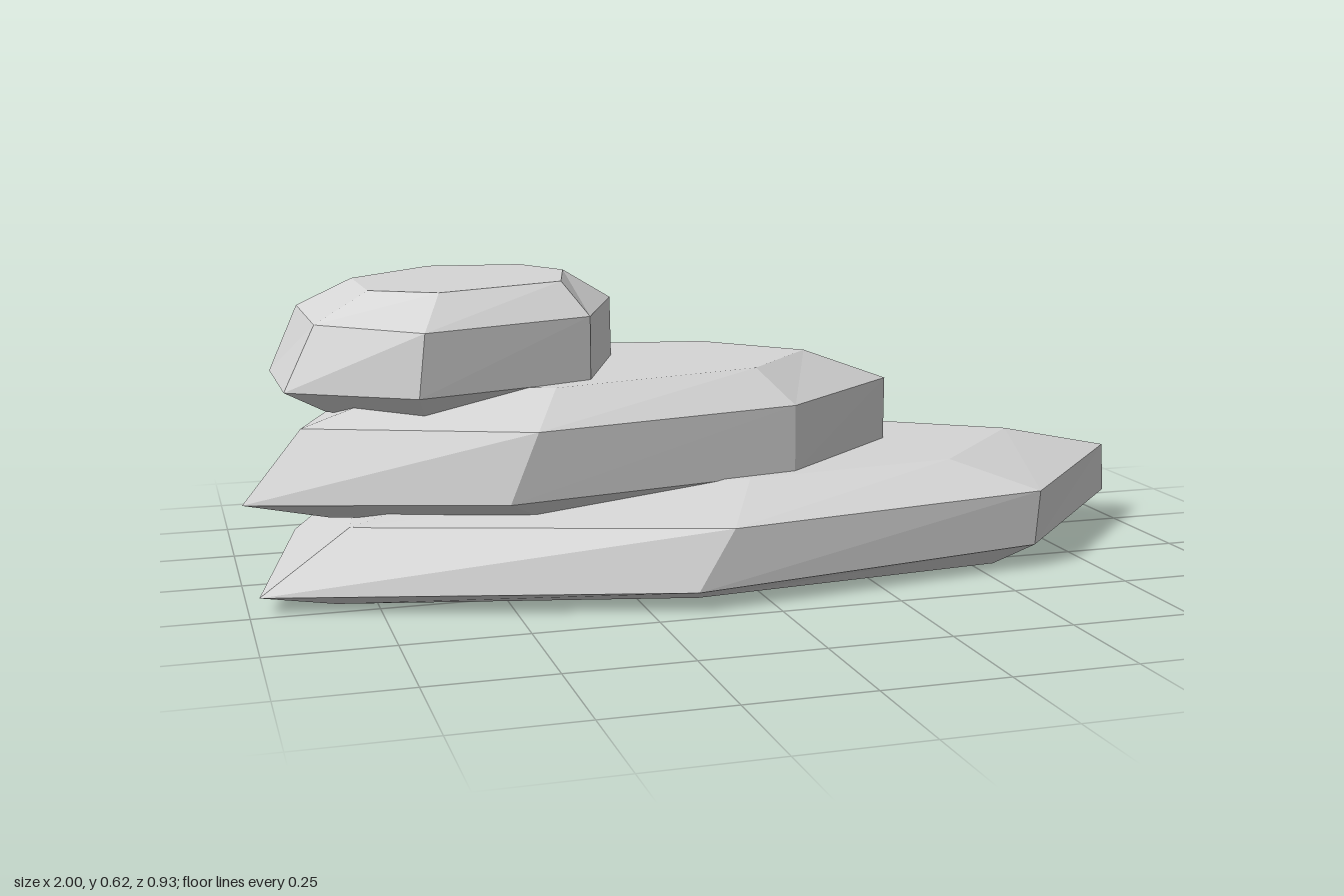
import * as THREE from 'three';

// Each slab: four seven-sided rings of [x, z], from underside to top.
const lowerRings = [
  [[.77, -.08], [.55, .29], [-.13, .36], [-.83, .19], [-.73, -.26], [-.25, -.38], [.4, -.31]],
  [[1, -.06], [.62, .345], [-.16, .465], [-.98, .23], [-.865, -.29], [-.28, -.465], [.56, -.375]],
  [[.98, -.035], [.63, .345], [-.08, .445], [-.8, .2], [-.72, -.26], [-.26, -.4], [.57, -.325]],
  [[.72, -.02], [.47, .23], [.01, .265], [-.55, .14], [-.52, -.2], [-.18, -.29], [.45, -.2]],
];
const middleRings = [
  [[.28, -.01], [.06, .18], [-.42, .25], [-.83, .12], [-.67, -.19], [-.38, -.37], [.1, -.24]],
  [[.415, -.01], [.12, .23], [-.5, .32], [-1, .14], [-.81, -.24], [-.43, -.46], [.18, -.31]],
  [[.41, .005], [.12, .23], [-.44, .31], [-.88, .12], [-.74, -.21], [-.4, -.4], [.17, -.27]],
  [[.22, 0], [.06, .15], [-.38, .2], [-.66, .08], [-.6, -.16], [-.36, -.29], [.04, -.18]],
];
const upperRings = [
  [[-.28, -.1], [-.36, .1], [-.64, .17], [-.82, .04], [-.83, -.2], [-.6, -.33], [-.37, -.26]],
  [[-.19, -.1], [-.295, .145], [-.66, .235], [-.905, .06], [-.91, -.24], [-.61, -.41], [-.31, -.315]],
  [[-.195, -.09], [-.295, .145], [-.645, .228], [-.84, .05], [-.85, -.22], [-.6, -.365], [-.31, -.28]],
  [[-.3, -.08], [-.34, .08], [-.6, .13], [-.73, .04], [-.74, -.15], [-.56, -.26], [-.37, -.2]],
];

// Lofts the rings into a closed faceted slab; each ring has a height and a lean along x and z.
function slab(name, rings, planes, material) {
  const points = rings.map((ring, k) => {
    const [height, leanX, leanZ] = planes[k];
    return ring.map(([x, z]) => [x, height + leanX * x + leanZ * z, z]);
  });
  const n = rings[0].length;
  const positions = [];
  const tri = (a, b, c) => positions.push(...a, ...b, ...c);

  // Side bands
  for (let k = 0; k < points.length - 1; k++) {
    for (let i = 0; i < n; i++) {
      const j = (i + 1) % n;
      const low = points[k], high = points[k + 1];
      tri(low[i], high[i], low[j]);
      tri(low[j], high[i], high[j]);
    }
  }
  // Underside and top
  const bottom = points[0], top = points[points.length - 1];
  for (let i = 1; i < n - 1; i++) {
    tri(bottom[0], bottom[i], bottom[i + 1]);
    tri(top[0], top[i + 1], top[i]);
  }

  const geometry = new THREE.BufferGeometry();
  geometry.setAttribute('position', new THREE.Float32BufferAttribute(positions, 3));
  geometry.computeVertexNormals();
  const mesh = new THREE.Mesh(geometry, material);
  mesh.name = name;
  return mesh;
}

export function createModel() {
  const stone = new THREE.MeshStandardMaterial({ color: 0xd4d4d4, flatShading: true });
  stone.name = 'light grey stone';
  const group = new THREE.Group();
  group.name = 'stackedRocks';
  group.add(
    slab('lowerSlab', lowerRings,
      [[0, 0, 0], [.047, .01, -.01], [.164, .008, -.01], [.221, .01, -.02]], stone),
    slab('middleSlab', middleRings,
      [[.16, 0, 0], [.213, .013, 0], [.359, .015, -.02], [.43, .025, -.035]], stone),
    slab('upperSlab', upperRings,
      [[.36, 0, 0], [.42, .015, 0], [.558, .02, -.03], [.627, .03, -.03]], stone),
  );
  return group;
}
